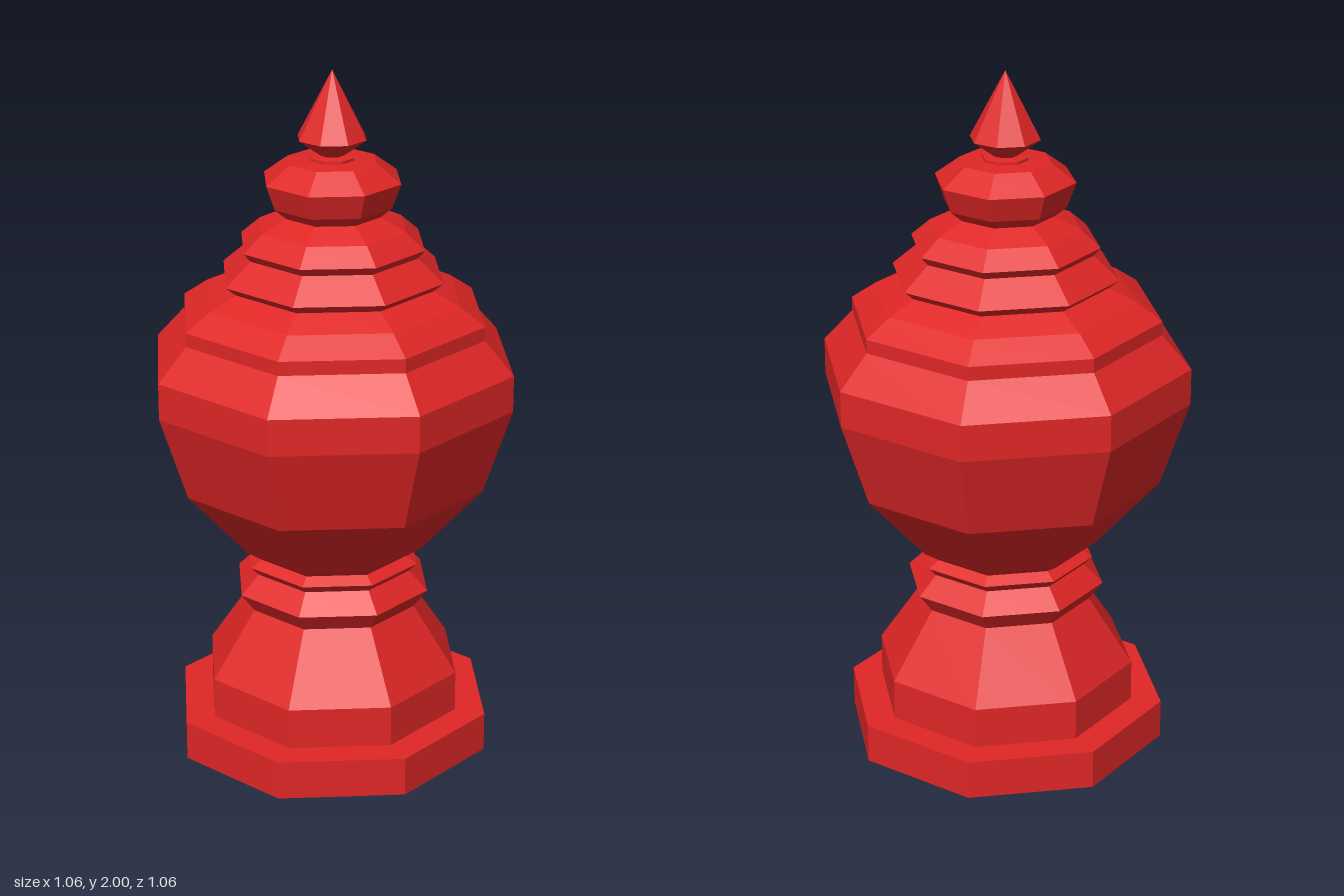
import * as THREE from 'three';

const SIDES = 8;

export function createModel() {
  const group = new THREE.Group();
  group.name = 'turnedFinial';
  const red = new THREE.MeshStandardMaterial({ color: 0xe02626, flatShading: true });
  red.name = 'red';

  // Octagonal turning from [radius, height] points, listed bottom to top
  function turn(name, profile) {
    const points = profile.map(([r, y]) => new THREE.Vector2(r, y));
    const mesh = new THREE.Mesh(new THREE.LatheGeometry(points, SIDES), red);
    mesh.name = name;
    group.add(mesh);
  }

  // Stepped foot
  turn('plinth', [[0, 0], [0.47, 0], [0.47, 0.115], [0.38, 0.115]]);
  turn('pedestal', [[0.38, 0.115], [0.38, 0.235], [0.25, 0.43]]);

  // Two rings under the bowl
  turn('lowerCollar', [[0.25, 0.43], [0.29, 0.485], [0.235, 0.54]]);
  turn('upperCollar', [[0.235, 0.54], [0.258, 0.565], [0.225, 0.585]]);

  // Swelling body with a stepped shoulder
  turn('body', [
    [0.225, 0.585], [0.27, 0.615], [0.45, 0.82], [0.532, 1.07],
    [0.532, 1.175], [0.447, 1.27],
  ]);
  turn('shoulder', [[0.447, 1.27], [0.447, 1.31], [0.375, 1.36], [0.295, 1.397]]);

  // Tapering tiers
  turn('lowerTier', [[0.295, 1.397], [0.325, 1.422], [0.25, 1.488]]);
  turn('upperTier', [[0.25, 1.488], [0.27, 1.512], [0.215, 1.56], [0.14, 1.595]]);

  // Cap and pointed tip
  turn('cap', [[0.14, 1.595], [0.175, 1.625], [0.2, 1.695], [0.13, 1.747], [0.065, 1.75]]);
  turn('tipNeck', [[0.065, 1.75], [0.065, 1.758], [0.035, 1.762]]);
  turn('tip', [[0.035, 1.762], [0.1, 1.81], [0, 2]]);

  return group;
}
